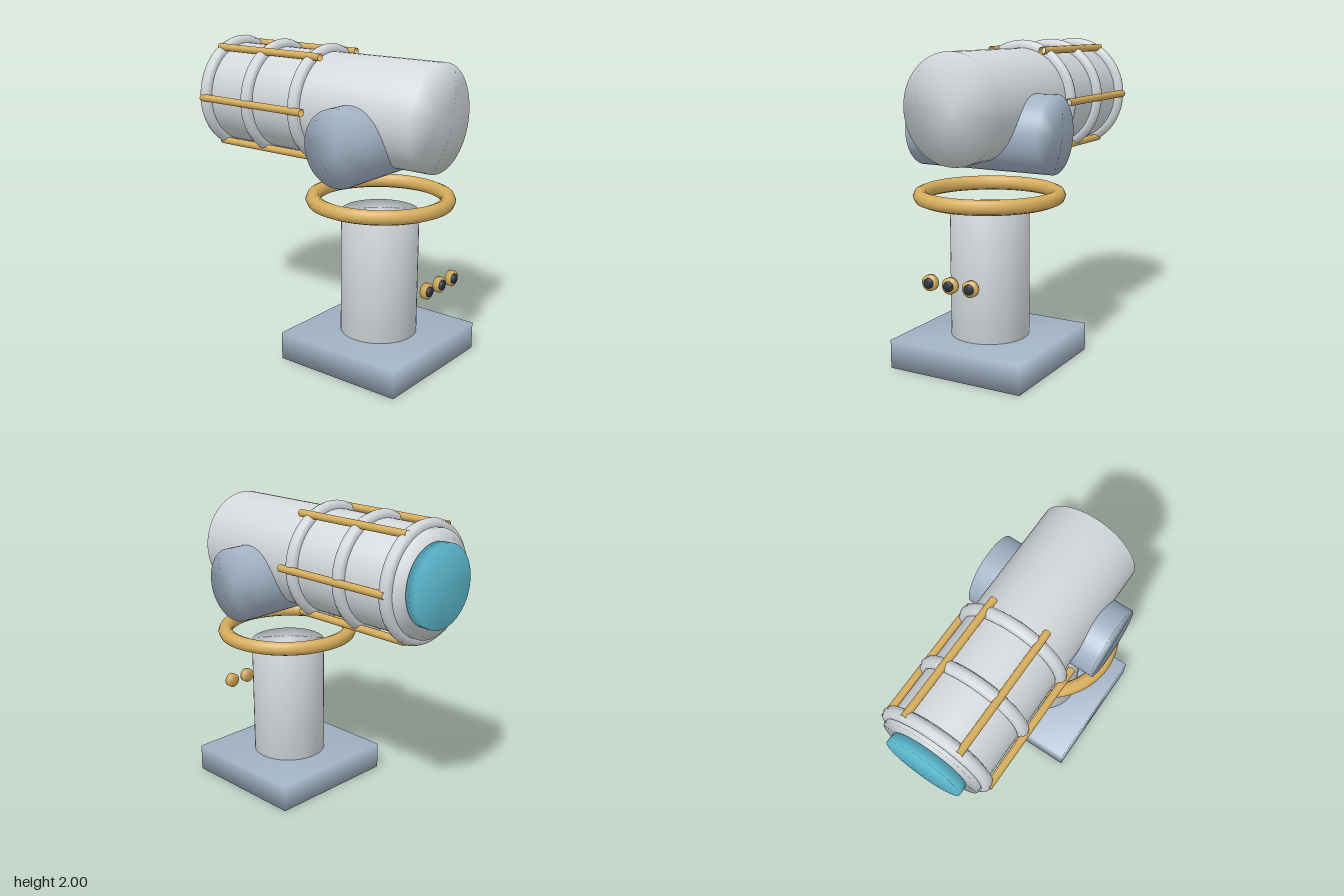
import * as THREE from 'three';
import { mergeVertices } from 'three/addons/utils/BufferGeometryUtils.js';

function material(name, color, side = THREE.FrontSide) {
  const m = new THREE.MeshStandardMaterial({ color, side });
  m.name = name;
  return m;
}

// Share the corner vertices so the shading runs softly over every edge
function soften(geometry) {
  geometry.deleteAttribute('normal');
  geometry.deleteAttribute('uv');
  const merged = mergeVertices(geometry, 1e-4);
  merged.computeVertexNormals();
  return merged;
}

const disc = (radius, length, sides = 48) =>
  soften(new THREE.CylinderGeometry(radius, radius, length, sides));

export function createModel() {
  const grey = material('light grey', 0xd4d8db);
  const steel = material('blue steel', 0xa1b2c4);
  const brass = material('brass', 0xd6ad5c, THREE.DoubleSide);
  const glass = material('cyan glass', 0x62c3da);
  const dark = material('dark slate', 0x2f3843);

  const model = new THREE.Group();
  model.name = 'telescope';
  const add = (name, geometry, mat, x, y, z, parent = model) => {
    const mesh = new THREE.Mesh(geometry, mat);
    mesh.name = name;
    mesh.position.set(x, y, z);
    parent.add(mesh);
    return mesh;
  };

  const standZ = 0.42;  // axis of the stand
  const tubeY = 1.62;   // axis of the telescope tube

  // Stand: plate, column and floating turning ring
  add('basePlate', soften(new THREE.BoxGeometry(0.91, 0.18, 0.88)), steel, 0, 0.09, standZ);
  add('column', disc(0.247, 0.805), grey, 0, 0.5825, standZ);
  add('turningRing', new THREE.TorusGeometry(0.425, 0.047, 8, 48), brass, 0, 1.065, standZ)
    .rotation.x = Math.PI / 2;

  // Cross-wise pivot drum
  add('pivotDrum', disc(0.238, 0.91), steel, 0, 1.46, standZ).rotation.z = Math.PI / 2;

  // Main tube and lens, pointing backwards
  add('tube', disc(0.331, 1.665), grey, 0, tubeY, 0.0075).rotation.x = Math.PI / 2;
  add('lens', disc(0.256, 0.067), glass, 0, tubeY, -0.8665).rotation.x = Math.PI / 2;

  // Cage around the tube: three hoops and six open rods
  const cage = new THREE.Group();
  cage.name = 'cage';
  cage.position.y = tubeY;
  model.add(cage);
  const hoop = new THREE.TorusGeometry(0.338, 0.042, 8, 48);
  for (const z of [0, -0.395, -0.76]) add('hoop', hoop, grey, 0, 0, z, cage);
  const rod = new THREE.CylinderGeometry(0.024, 0.024, 0.86, 12, 1, true);
  for (let i = 0; i < 6; i++) {
    const a = i * Math.PI / 3;
    add('rod', rod, brass, 0.365 * Math.cos(a), 0.365 * Math.sin(a), -0.347, cage)
      .rotation.x = Math.PI / 2;
  }

  // Three control knobs in front of the column
  const rim = disc(0.049, 0.034, 24);
  const button = disc(0.031, 0.03, 24);
  for (const x of [-0.14, 0, 0.14]) {
    add('knobRim', rim, brass, x, 0.595, 0.871).rotation.x = Math.PI / 2;
    add('knobButton', button, dark, x, 0.595, 0.885).rotation.x = Math.PI / 2;
  }

  return model;
}
